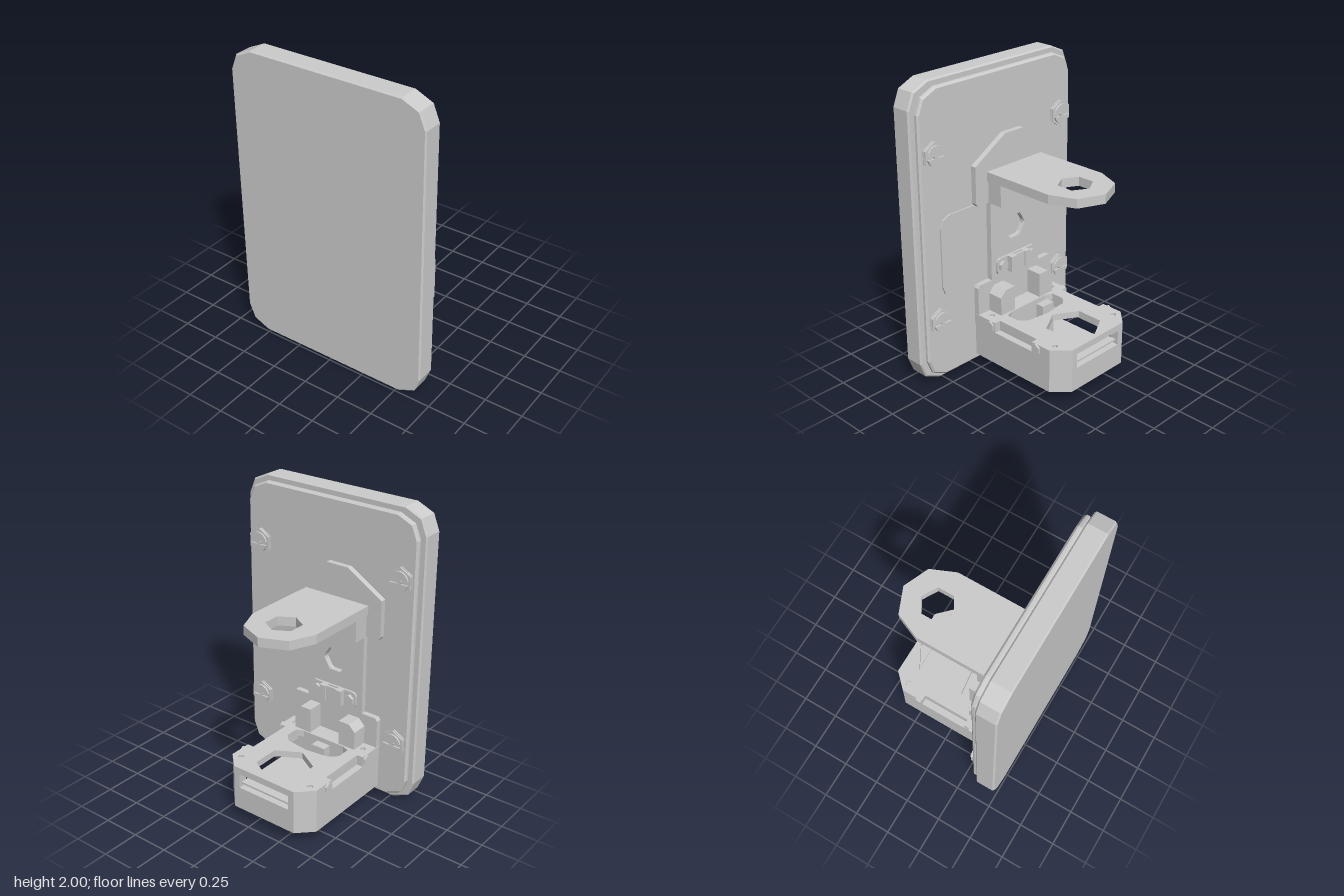
import * as THREE from 'three';

const MID = 0.095; // bracket centre line, measured along -z

export function createModel() {
  const model = new THREE.Group();
  const grey = new THREE.MeshStandardMaterial({ color: 0xcccccc, flatShading: true });

  const add = (name, geometry, parent = model) => {
    const mesh = new THREE.Mesh(geometry, grey);
    mesh.name = name;
    parent.add(mesh);
    return mesh;
  };
  const vec = (pts) => pts.map(([u, v]) => new THREE.Vector2(u, v));
  const ngon = (u, v, r, n, turn = 0) => Array.from({ length: n }, (_, i) => {
    const a = turn + (i * 2 * Math.PI) / n;
    return [u + r * Math.cos(a), v + r * Math.sin(a)];
  });
  const extrude = (pts, holes, depth, bevel) => {
    const shape = new THREE.Shape(vec(pts));
    holes.forEach((h) => shape.holes.push(new THREE.Path(vec(h))));
    const g = new THREE.ExtrudeGeometry(shape, {
      depth: depth - 2 * bevel, bevelEnabled: bevel > 0, bevelSize: bevel,
      bevelThickness: bevel, bevelOffset: -bevel, bevelSegments: 1,
    });
    return g.translate(0, 0, bevel);
  };
  // Outline in (-z, y), thickness along x
  const alongX = (name, pts, x0, x1, holes = [], bevel = 0, parent = model) =>
    add(name, extrude(pts, holes, x1 - x0, bevel).rotateY(Math.PI / 2).translate(x0, 0, 0), parent);
  // Outline in (x, -z), thickness along y
  const alongY = (name, pts, y0, y1, holes = [], parent = model) =>
    add(name, extrude(pts, holes, y1 - y0, 0).rotateX(-Math.PI / 2).translate(0, y0, 0), parent);
  const block = (name, x0, x1, y0, y1, z0, z1, parent = model) =>
    add(name, new THREE.BoxGeometry(x1 - x0, y1 - y0, z1 - z0)
      .translate((x0 + x1) / 2, (y0 + y1) / 2, (z0 + z1) / 2), parent);
  // Rectangle whose corners are cut by two facets
  const facetRect = (cu, cv, hu, hv, c) => {
    const q = [[hu, hv - c], [hu - c * 0.27, hv - c * 0.33], [hu - c, hv]];
    const m = (su, sv) => q.map(([u, v]) => [cu + su * u, cv + sv * v]);
    return [...m(1, 1), ...m(-1, 1).reverse(), ...m(-1, -1), ...m(1, -1).reverse()];
  };

  // Wall plate: thick back, recessed seam and a smaller front panel
  alongX('backPlate', facetRect(0, 1, 0.674, 1, 0.155), -0.49, -0.352, [], 0.01);
  alongX('plateSeam', facetRect(0, 1, 0.63, 0.952, 0.145), -0.36, -0.33);
  alongX('frontPanel', facetRect(0, 1, 0.642, 0.965, 0.145), -0.348, -0.308, [], 0.012);
  alongX('sidePad', facetRect(-0.32, 0.87, 0.19, 0.275, 0.075), -0.31, -0.298);

  // Mounting plate with pointed head, narrow waist and wide foot
  const half = [[0.335, 0.3], [0.335, 0.57], [0.32, 0.59], [0.215, 0.59],
    [0.215, 1.14], [0.32, 1.14], [0.335, 1.16], [0.335, 1.405], [0.08, 1.56]];
  alongX('mountingPlate', [...half.map(([u, v]) => [MID + u, v]),
    ...half.map(([u, v]) => [MID - u, v]).reverse()], -0.31, -0.27, [ngon(MID, 0.91, 0.09, 6)]);
  const hole = ngon(MID, 0.91, 0.084, 16);
  alongX('holeRim', ngon(MID, 0.91, 0.094, 6), -0.305, -0.28, [hole]);

  // Upper bracket: flange and shelf with a hexagonal hole
  block('bracketFlange', -0.275, -0.16, 1.14, 1.295, -0.325, 0.135);
  const arm = [[-0.275, -0.24], [0.25, -0.24], [0.415, -0.17], [0.487, 0],
    [0.415, 0.17], [0.25, 0.24], [-0.275, 0.24]].map(([x, w]) => [x, w + MID]);
  alongY('bracketShelf', arm, 1.29, 1.35, [ngon(0.247, MID, 0.112, 6)]);

  // Small latch on the waist: end pads, screws and a raised bridge
  const latch = new THREE.Group();
  latch.name = 'latch';
  model.add(latch);
  alongX('latchBase', facetRect(MID, 0.67, 0.175, 0.057, 0.025), -0.275, -0.255, [], 0, latch);
  for (const s of [-1, 1]) {
    alongX('latchScrew', ngon(MID + s * 0.13, 0.67, 0.037, 6, Math.PI / 6), -0.26, -0.235, [], 0, latch);
    block('latchBridgeLeg', -0.27, -0.215, 0.617, 0.727, -MID + s * 0.062 - 0.023, -MID + s * 0.062 + 0.023, latch);
  }
  block('latchBridge', -0.24, -0.225, 0.617, 0.727, -MID - 0.05, -MID + 0.05, latch);

  // Corner screws: ribbed hexagonal washers and slotted heads
  for (const y of [0.45, 1.56]) for (const z of [-0.54, 0.54]) {
    const screw = new THREE.Group();
    screw.name = 'cornerScrew';
    model.add(screw);
    const turn = Math.PI / 6;
    alongX('washer', ngon(-z, y, 0.088, 6, turn), -0.312, -0.3, [], 0, screw);
    alongX('washerGap', ngon(-z, y, 0.078, 6, turn), -0.3, -0.294, [], 0, screw);
    alongX('nut', ngon(-z, y, 0.088, 6, turn), -0.294, -0.284, [], 0, screw);
    for (const s of [0, Math.PI]) { // head halves leave a horizontal slot
      const arc = Array.from({ length: 9 }, (_, i) => {
        const a = s + 0.2 + (i / 8) * (Math.PI - 0.4);
        return [-z + 0.066 * Math.cos(a), y + 0.066 * Math.sin(a)];
      });
      alongX('screwHead', arc, -0.286, -0.272, [], 0, screw);
    }
    alongX('screwPin', ngon(-z, y, 0.018, 8), -0.286, -0.274, [], 0, screw);
  }

  // Two posts rising behind the tray
  for (const s of [-1, 1]) {
    const post = [[0.115, 0.36], [0.24, 0.36], [0.24, 0.505], [0.195, 0.55], [0.115, 0.55]]
      .map(([u, v]) => [MID + s * u, v]);
    alongX('post', post, -0.275, -0.16, [], 0);
  }

  // Lower tray, stacked in layers so slots and side notches stay open
  const tray = new THREE.Group();
  tray.name = 'tray';
  model.add(tray);
  const side = [[-0.3, 0.338], [0.36, 0.338], [0.46, 0.238]];
  const notched = [[-0.3, 0.338], [-0.12, 0.338], [-0.12, 0.293], [0.21, 0.293],
    [0.21, 0.338], [0.36, 0.338], [0.46, 0.238]];
  const inner = [[-0.24, 0.28], [0.34, 0.28], [0.4, 0.215]];
  const flip = (p) => p.map(([x, w]) => [x, -w]).reverse();
  const lift = (p) => p.map(([x, w]) => [x, w + MID]);
  const loop = (p) => lift([...p, ...flip(p)]);
  // Wall open at the front slot
  const openWall = (outer) => lift([[0.46, 0.195], [0.4, 0.195], ...[...inner].reverse(),
    ...flip(inner).reverse(), [0.4, -0.195], [0.46, -0.195], ...flip(outer), ...outer]);
  alongY('trayFloor', loop(side), 0.08, 0.12, [], tray);
  alongY('trayWall', loop(side), 0.12, 0.235, [loop(inner)], tray);
  alongY('traySlotWall', openWall(side), 0.235, 0.31, [], tray);
  alongY('trayNotchWall', openWall(notched), 0.31, 0.335, [], tray);
  const rearOpening = lift([[-0.13, -0.21], [-0.04, -0.21], [0.01, -0.16], [0.03, 0],
    [0.01, 0.16], [-0.04, 0.21], [-0.13, 0.21], [-0.15, 0.16], [-0.15, -0.16]]);
  const pins = [];
  for (const x of [-0.205, 0.35]) for (const s of [-1, 1]) pins.push(ngon(x, MID + s * 0.277, 0.02, 6));
  alongY('trayLid', loop(notched), 0.335, 0.38,
    [ngon(0.25, MID, 0.18, 6), rearOpening, ...pins], tray);
  pins.forEach((p) => alongY('lidPin', p, 0.33, 0.365, [], tray));
  block('catch', -0.08, -0.02, 0.12, 0.4, -0.2, -0.1, tray);
  block('slotLedge', 0.37, 0.44, 0.255, 0.268, -0.29, 0.1, tray);

  // Hexagonal rivets beside each side notch
  for (const s of [-1, 1]) for (const x of [-0.16, 0.248]) {
    const rivet = add('sideRivet', new THREE.CylinderGeometry(0.036, 0.036, 0.03, 6), tray);
    rivet.rotation.x = Math.PI / 2;
    rivet.position.set(x, 0.345, -MID + s * 0.335);
  }
  return model;
}
